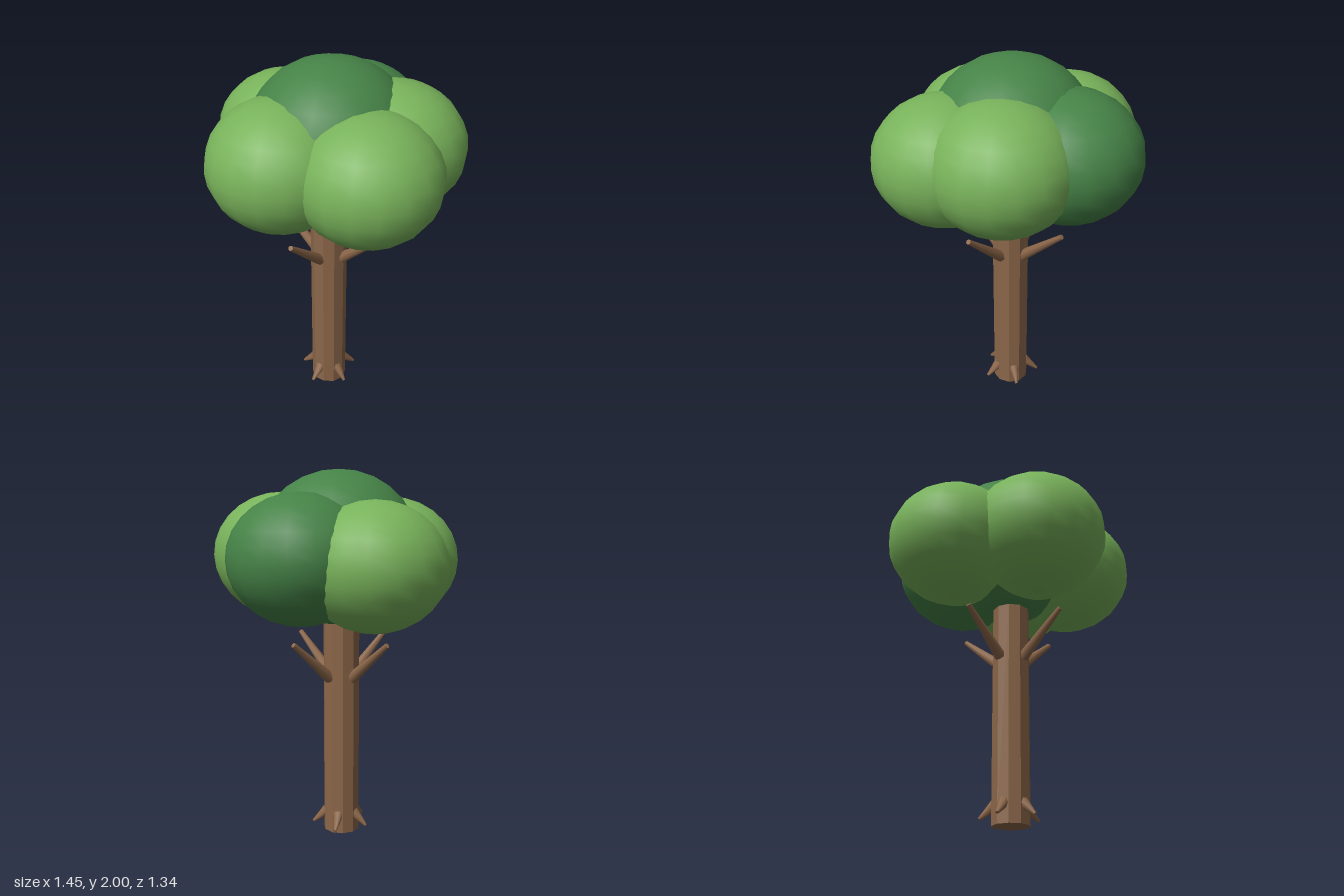
import * as THREE from 'three';

const material = (name, color) => {
  const m = new THREE.MeshStandardMaterial({ color });
  m.name = name;
  return m;
};

export function createModel() {
  const bark = material('bark brown', 0x8b6649);
  const lightLeaf = material('light leaf green', 0x78b25a);
  const darkLeaf = material('dark leaf green', 0x468347);

  const tree = new THREE.Group();
  tree.name = 'tree';
  const add = (name, geometry, mat, parent = tree) => {
    const mesh = new THREE.Mesh(geometry, mat);
    mesh.name = name;
    parent.add(mesh);
    return mesh;
  };

  // Tapered limb between two points
  const limb = (name, from, to, r0, r1, parent) => {
    const dir = to.clone().sub(from);
    const mesh = add(name, new THREE.CylinderGeometry(r1, r0, dir.length(), 8), bark, parent);
    mesh.position.copy(from).add(to).multiplyScalar(0.5);
    mesh.quaternion.setFromUnitVectors(new THREE.Vector3(0, 1, 0), dir.normalize());
  };

  // Ring of limbs around the trunk, given as [radius, height] at each end
  const ring = (name, count, start, [ra, ya], [rb, yb], r0, r1) => {
    const group = new THREE.Group();
    group.name = name + 's';
    tree.add(group);
    for (let i = 0; i < count; i++) {
      const a = start + (i * Math.PI * 2) / count;
      const at = (r, y) => new THREE.Vector3(r * Math.cos(a), y, r * Math.sin(a));
      limb(name, at(ra, ya), at(rb, yb), r0, r1, group);
    }
  };

  // Ten-sided trunk with faceted sides
  const trunkGeometry = new THREE.CylinderGeometry(0.1, 0.1, 1.19, 10).toNonIndexed();
  trunkGeometry.computeVertexNormals();
  add('trunk', trunkGeometry, bark).position.y = 0.595;

  // Branches below the crown and short roots at the foot
  ring('branch', 4, -0.35, [0.085, 0.888], [0.342, 1.1], 0.032, 0.014);
  ring('root', 5, 0, [0.08, 0.107], [0.16, 0.04], 0.031, 0.008);

  // Crown of slightly flattened leaf balls: name, material, centre, radius, half height
  const crown = new THREE.Group();
  crown.name = 'crown';
  tree.add(crown);
  const balls = [
    ['topLeaves', darkLeaf, [0, 1.59, -0.015], 0.437, 0.41],
    ['frontLeaves', lightLeaf, [0, 1.523, 0.287], 0.38, 0.338],
    ['leftLeaves', lightLeaf, [0.358, 1.517, 0.022], 0.373, 0.332],
    ['rightLeaves', lightLeaf, [-0.362, 1.507, 0.022], 0.373, 0.33],
    ['backLeftLeaves', lightLeaf, [0.2, 1.55, -0.26], 0.376, 0.336],
    ['backRightLeaves', darkLeaf, [-0.16, 1.54, -0.29], 0.38, 0.336],
  ];
  for (const [name, mat, centre, radius, halfHeight] of balls) {
    const ball = add(name, new THREE.SphereGeometry(1, 18, 14), mat, crown);
    ball.position.set(...centre);
    ball.rotation.y = Math.PI / 2;
    ball.scale.set(radius, halfHeight, radius);
  }

  return tree;
}
